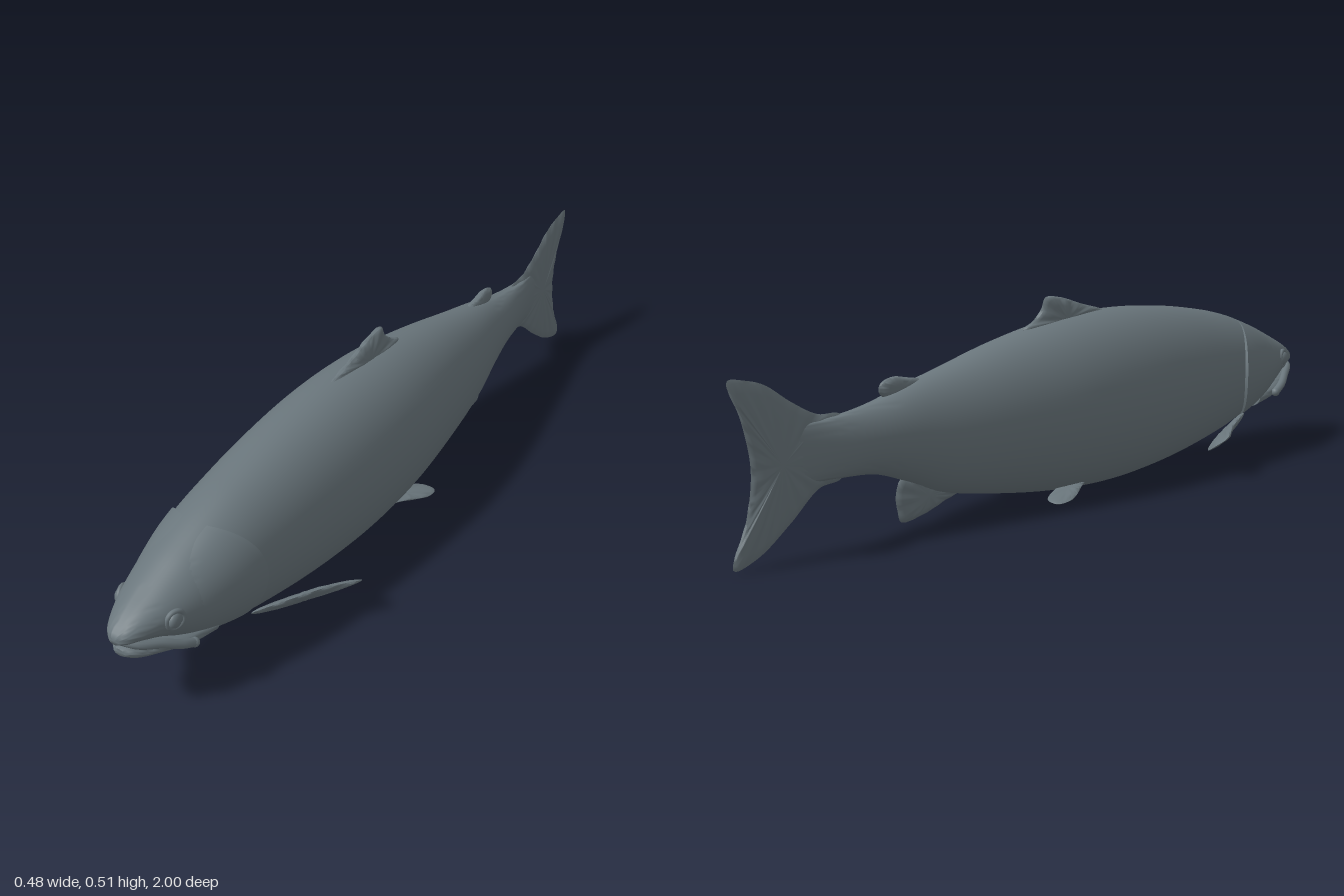
import * as THREE from 'three';
import { toCreasedNormals } from 'three/addons/utils/BufferGeometryUtils.js';

const slate = new THREE.MeshStandardMaterial({ color: 0x69757b });
slate.name = 'slate grey';

// Stations: [z, bottom y, top y, half width], nose to tail
const BODY = [
  [1.0, 0.222, 0.242, 0.014], [0.985, 0.216, 0.256, 0.032], [0.95, 0.205, 0.278, 0.052],
  [0.9, 0.183, 0.302, 0.074], [0.85, 0.15, 0.325, 0.091], [0.8, 0.12, 0.347, 0.105],
  [0.7, 0.085, 0.384, 0.122], [0.6, 0.056, 0.41, 0.133], [0.4, 0.02, 0.442, 0.151],
  [0.2, 0.003, 0.455, 0.16], [0, 0.009, 0.446, 0.155], [-0.2, 0.035, 0.415, 0.13],
  [-0.4, 0.075, 0.37, 0.095], [-0.5, 0.118, 0.348, 0.074], [-0.6, 0.153, 0.322, 0.054],
  [-0.7, 0.162, 0.308, 0.034], [-0.8, 0.165, 0.305, 0.015], [-0.87, 0.18, 0.29, 0.003],
];
const JAW = [
  [0.987, 0.182, 0.2, 0.016], [0.965, 0.166, 0.205, 0.038], [0.9, 0.145, 0.19, 0.061],
  [0.84, 0.128, 0.18, 0.08], [0.76, 0.112, 0.18, 0.09],
];

// Smooth cubic interpolation of the station table at z
function station(table, z) {
  let i = 0;
  while (i < table.length - 2 && z < table[i + 1][0]) i++;
  const p = table[i], q = table[i + 1], d = q[0] - p[0], t = (z - p[0]) / d;
  const o = table[i - 1] || p, r = table[i + 2] || q;
  return [1, 2, 3].map((k) => {
    const m0 = (q[k] - o[k]) / (q[0] - o[0]) * d, m1 = (r[k] - p[k]) / (r[0] - p[0]) * d;
    const t2 = t * t, t3 = t2 * t;
    return (2 * t3 - 3 * t2 + 1) * p[k] + (t3 - 2 * t2 + t) * m0 + (3 * t2 - 2 * t3) * q[k] + (t3 - t2) * m1;
  });
}

function skinPoint(table, z, a, inflate = 0) {
  const [low, high, w] = station(table, z);
  return new THREE.Vector3((w + inflate) * Math.cos(a),
    (low + high) / 2 + ((high - low) / 2 + inflate) * Math.sin(a), z);
}

// Join closed rings into a skin
function loft(rings, crease = 0.9) {
  const n = rings[0].length, index = [];
  for (let i = 0; i < rings.length - 1; i++) {
    for (let j = 0; j < n; j++) {
      const a = i * n + j, b = i * n + (j + 1) % n;
      index.push(a, a + n, b, b, a + n, b + n);
    }
  }
  const g = new THREE.BufferGeometry().setFromPoints(rings.flat());
  g.setIndex(index);
  return toCreasedNormals(g, crease);
}

const angles = (n) => Array.from({ length: n }, (_, j) => j / n * Math.PI * 2);

function tubeBody(table, steps, sides) {
  const z0 = table[0][0], z1 = table[table.length - 1][0], rings = [];
  for (let i = 0; i <= steps; i++) {
    const z = z0 + (z1 - z0) * Math.pow(i / steps, 1.25);
    rings.push(angles(sides).map((a) => skinPoint(table, z, a)));
  }
  const shut = (ring) => {
    const c = ring.reduce((s, p) => s.add(p), new THREE.Vector3()).divideScalar(ring.length);
    return ring.map(() => c.clone());
  };
  return loft([shut(rings[0]), ...rings, shut(rings[steps])], 1.2);
}

// Lens-thick fin from an outline; rays ripple the faces
function fin(outline, thickness, rays = 0, n = 72) {
  const pts = outline.map((p) => new THREE.Vector3(...p));
  const rim = new THREE.CatmullRomCurve3(pts, true).getSpacedPoints(n).slice(0, n);
  const c = new THREE.Vector3(), normal = new THREE.Vector3();
  rim.forEach((p) => c.addScaledVector(p, 1 / n));
  rim.forEach((p, j) => normal.add(p.clone().sub(c).cross(rim[(j + 1) % n].clone().sub(c))));
  normal.normalize();
  const rings = [];
  const ring = (t, side) => rings.push(rim.map((p, j) => {
    const ripple = 1 + 0.2 * t * Math.cos(j / n * Math.PI * 2 * rays);
    const h = thickness * Math.sqrt(1 - t * t) * (rays ? ripple : 1);
    return c.clone().lerp(p, t).addScaledVector(normal, side * h);
  }));
  [0, 0.3, 0.6, 0.85, 0.96].forEach((t) => ring(t, 1));
  ring(1, 0);
  [0.96, 0.85, 0.6, 0.3, 0].forEach((t) => ring(t, -1));
  return loft(rings, 1.1);
}

export function createModel() {
  const model = new THREE.Group();
  model.name = 'fish';
  const add = (name, geometry) => {
    const m = new THREE.Mesh(geometry, slate);
    m.name = name;
    model.add(m);
    return m;
  };
  const upright = (yz) => yz.map(([z, y]) => [0, y, z]);

  add('body', tubeBody(BODY, 90, 48));
  add('lowerJaw', tubeBody(JAW, 16, 32));

  // Gill covers: raised skin ending in a curved edge
  const cover = [];
  for (let i = 0; i <= 13; i++) {
    const t = Math.min(i / 12, 1);
    cover.push(angles(64).map((a) => {
      const z = THREE.MathUtils.lerp(0.86, 0.635 + 0.085 * Math.sin(a) ** 2, t);
      const lift = i === 13 ? -0.012 : -0.004 + 0.014 * Math.abs(Math.cos(a)) * Math.sin(t * Math.PI / 2);
      return skinPoint(BODY, z, a, lift);
    }));
  }
  add('gillCovers', loft(cover, 0.7));

  // Fins on the centre line
  add('tailFin', fin(upright([
    [-0.69, 0.305], [-0.76, 0.318], [-0.83, 0.355], [-0.9, 0.402], [-0.95, 0.418], [-0.997, 0.422],
    [-0.965, 0.335], [-0.943, 0.22], [-0.96, 0.11], [-0.997, 0.01],
    [-0.93, 0.025], [-0.84, 0.085], [-0.76, 0.148], [-0.69, 0.165],
  ]), 0.013, 24, 144));
  add('dorsalFin', fin(upright([
    [0.2, 0.445], [0.1, 0.478], [0.02, 0.502], [-0.03, 0.505], [-0.045, 0.475], [-0.075, 0.45],
    [-0.11, 0.43], [-0.08, 0.4], [0.05, 0.41],
  ]), 0.017, 12));
  add('adiposeFin', fin(upright([
    [-0.45, 0.352], [-0.5, 0.366], [-0.54, 0.372], [-0.575, 0.36], [-0.58, 0.34], [-0.555, 0.322], [-0.5, 0.325],
  ]), 0.013));
  add('analFin', fin(upright([
    [-0.32, 0.07], [-0.38, 0.05], [-0.45, 0.029], [-0.52, 0.023], [-0.53, 0.05], [-0.535, 0.09],
    [-0.515, 0.13], [-0.42, 0.11],
  ]), 0.014, 12));

  // Paired parts, mirrored
  for (const [side, s] of [['left', 1], ['right', -1]]) {
    const mirror = (pts) => pts.map(([x, y, z]) => [s * x, y, z]);
    add(side + 'PectoralFin', fin(mirror([
      [0.105, 0.12, 0.66], [0.15, 0.128, 0.59], [0.2, 0.124, 0.49], [0.24, 0.108, 0.41],
      [0.21, 0.085, 0.4], [0.165, 0.063, 0.43], [0.12, 0.057, 0.5], [0.085, 0.075, 0.6],
    ]), 0.01, 10));
    add(side + 'PelvicFin', fin(mirror([
      [0.045, 0.03, 0.07], [0.09, 0.03, 0.01], [0.128, 0.015, -0.07], [0.118, 0.009, -0.108],
      [0.08, 0.012, -0.105], [0.05, 0.022, -0.05], [0.035, 0.028, 0.02],
    ]), 0.007, 8));

    // Lip running from the snout down to the mouth corner
    const lip = new THREE.CatmullRomCurve3(mirror([
      [0, 0.224, 0.984], [0.035, 0.212, 0.962], [0.062, 0.194, 0.915], [0.08, 0.172, 0.875], [0.086, 0.155, 0.84],
    ]).map((p) => new THREE.Vector3(...p)));
    add(side + 'Lip', new THREE.TubeGeometry(lip, 24, 0.011, 10));
    const corner = add(side + 'MouthCorner', new THREE.SphereGeometry(0.012, 16, 10));
    corner.position.set(s * 0.086, 0.155, 0.84);

    // Eye with a raised socket rim
    const eye = add(side + 'Eye', new THREE.SphereGeometry(0.02, 24, 16));
    eye.scale.set(0.6, 1, 1);
    eye.position.set(s * 0.076, 0.246, 0.885);
    const socket = add(side + 'EyeSocket', new THREE.TorusGeometry(0.022, 0.006, 10, 28));
    socket.position.set(s * 0.075, 0.246, 0.885);
    socket.rotation.y = s * 1.25;
  }
  return model;
}
